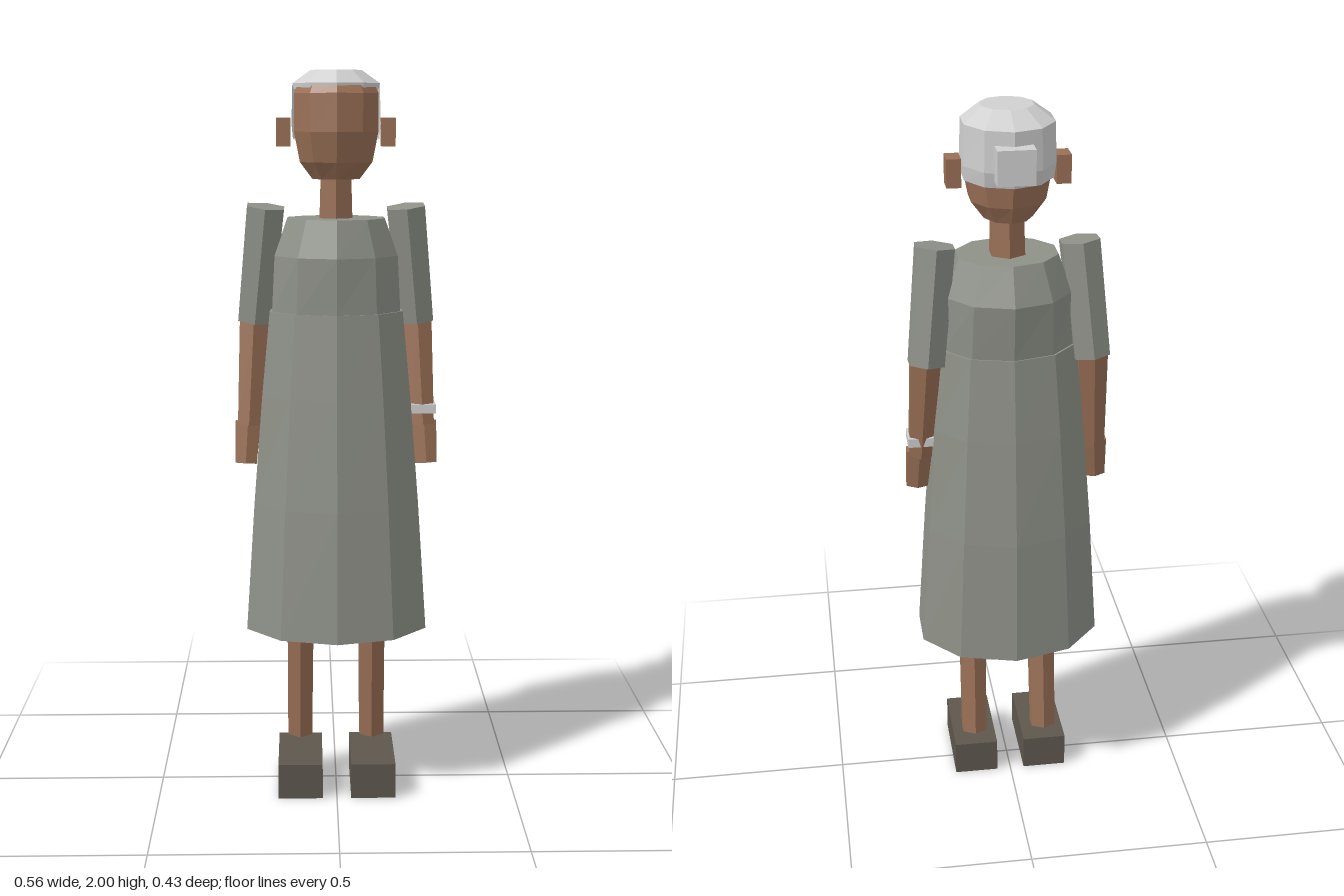
import * as THREE from 'three';

const mat = (name, color) => {
  const m = new THREE.MeshStandardMaterial({ color, flatShading: true, side: THREE.DoubleSide });
  m.name = name;
  return m;
};

// Stacked elliptical rings [y, rx, rz, centreZ], bottom to top; k0..k1 limits the facets
function loft(rings, sides = 10, k0 = 0, k1 = sides, caps = true) {
  const pos = [];
  const pt = ([y, rx, rz, cz], k) => {
    const a = (k / sides) * Math.PI * 2;
    return [rx * Math.sin(a), y, cz + rz * Math.cos(a)];
  };
  const tri = (...p) => p.forEach((v) => pos.push(...v));
  for (let k = k0; k < k1; k++) {
    for (let i = 0; i < rings.length - 1; i++) {
      const a = pt(rings[i], k), b = pt(rings[i], k + 1);
      const c = pt(rings[i + 1], k + 1), d = pt(rings[i + 1], k);
      tri(a, b, c);
      tri(a, c, d);
    }
    if (caps) {
      const lo = rings[0], hi = rings[rings.length - 1];
      tri([0, lo[0], lo[3]], pt(lo, k + 1), pt(lo, k));
      tri([0, hi[0], hi[3]], pt(hi, k), pt(hi, k + 1));
    }
  }
  const g = new THREE.BufferGeometry();
  g.setAttribute('position', new THREE.Float32BufferAttribute(pos, 3));
  g.computeVertexNormals();
  return g;
}

// Six-sided tapered limb running from top to bottom
function limb(top, bottom, rTop, rBottom, depth = 1) {
  const a = new THREE.Vector3(...top), b = new THREE.Vector3(...bottom);
  const dir = a.clone().sub(b);
  const g = new THREE.CylinderGeometry(rTop, rBottom, dir.length(), 6);
  g.scale(1, 1, depth);
  g.applyQuaternion(new THREE.Quaternion().setFromUnitVectors(new THREE.Vector3(0, 1, 0), dir.normalize()));
  const c = a.add(b).multiplyScalar(0.5);
  return g.translate(c.x, c.y, c.z);
}

const box = (w, h, d, x, y, z) => new THREE.BoxGeometry(w, h, d).translate(x, y, z);

export function createModel() {
  const model = new THREE.Group();
  model.name = 'figure';
  const skin = mat('skin', 0x9a7056);
  const cloth = mat('dressCloth', 0x8e9188);
  const pale = mat('paleGrey', 0xd0d0d0);
  const shoe = mat('shoe', 0x5d574d);
  const add = (name, geometry, material) => {
    const m = new THREE.Mesh(geometry, material);
    m.name = name;
    model.add(m);
  };

  // Dress
  add('skirt', loft([
    [0.47, 0.263, 0.213, 0],
    [0.83, 0.238, 0.195, -0.006],
    [1.13, 0.213, 0.168, -0.008],
    [1.36, 0.19, 0.145, -0.006],
  ]), cloth);
  add('bodice', loft([
    [1.36, 0.183, 0.142, -0.006],
    [1.51, 0.175, 0.15, -0.012],
    [1.61, 0.138, 0.116, -0.006],
  ]), cloth);

  // Head and neck
  add('neck', limb([0, 1.76, -0.008], [0, 1.58, -0.012], 0.046, 0.052), skin);
  add('head', loft([
    [1.715, 0.067, 0.085, -0.01],
    [1.76, 0.102, 0.11, -0.005],
    [1.84, 0.118, 0.126, 0],
    [1.94, 0.118, 0.122, 0],
    [1.96, 0.108, 0.108, 0],
  ]), skin);

  // Hair: crown all round, with a shell over the sides and back
  add('hairCrown', loft([
    [1.95, 0.118, 0.124, -0.016],
    [1.966, 0.122, 0.13, -0.02],
    [2.0, 0.071, 0.071, 0],
  ]), pale);
  add('hairBack', loft([
    [1.815, 0.105, 0.11, -0.01],
    [1.82, 0.121, 0.128, -0.012],
    [1.86, 0.125, 0.136, -0.016],
    [1.966, 0.122, 0.13, -0.02],
  ], 10, 2, 8, false), pale);
  add('hairBun', box(0.097, 0.09, 0.06, 0, 1.885, -0.152), pale);

  for (const s of [1, -1]) {
    const side = s > 0 ? 'left' : 'right';
    add(side + 'Ear', box(0.038, 0.075, 0.058, s * 0.141, 1.838, -0.021), skin);

    // Arm
    add(side + 'Sleeve', limb([s * 0.19, 1.64, -0.017], [s * 0.222, 1.325, -0.05], 0.058, 0.054), cloth);
    add(side + 'Forearm', limb([s * 0.224, 1.34, -0.048], [s * 0.24, 1.04, -0.002], 0.046, 0.036), skin);
    add(side + 'Hand', limb([s * 0.243, 1.05, -0.002], [s * 0.25, 0.935, 0.014], 0.04, 0.034, 0.65), skin);

    // Leg and shoe
    add(side + 'Leg', limb([s * 0.1, 0.56, 0.012], [s * 0.103, 0.125, -0.037], 0.043, 0.04), skin);
    add(side + 'Shoe', box(0.124, 0.1, 0.24, s * 0.102, 0.05, 0.035), shoe);
  }

  add('bracelet', box(0.07, 0.025, 0.073, 0.24, 1.088, -0.007), pale);
  return model;
}
